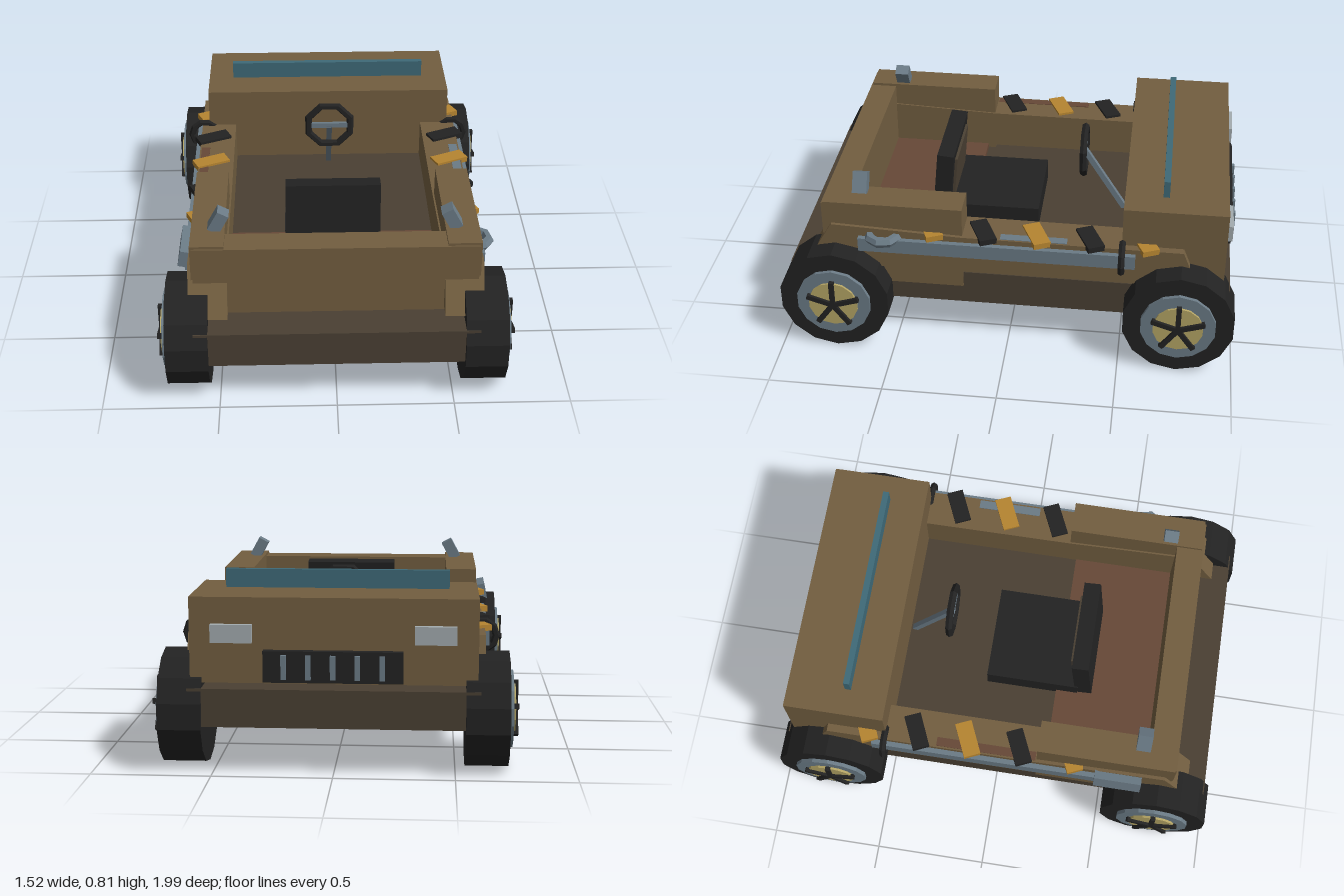
import * as THREE from 'three';

const mat = (name, color) => Object.assign(new THREE.MeshStandardMaterial({ color, flatShading: true }), { name });
const M = {
  body: mat('tan body', 0x725e40),
  frame: mat('dark brown frame', 0x4a4033),
  rust: mat('rust floor', 0x664837),
  black: mat('black rubber', 0x222222),
  steel: mat('blue grey steel', 0x6b7b86),
  brass: mat('pale brass', 0xb5a565),
  orange: mat('orange strap', 0xb58430),
  glass: mat('teal glass', 0x3e6a78),
  lamp: mat('lamp grey', 0xa3abae),
};

export function createModel() {
  const root = new THREE.Group();
  root.name = 'openBuggy';

  const add = (name, geo, material, parent = root) => {
    const mesh = new THREE.Mesh(geo, material);
    mesh.name = name;
    parent.add(mesh);
    return mesh;
  };
  // Box given by its extents on each axis
  const box = (name, material, [x0, x1], [y0, y1], [z0, z1], parent = root) => {
    const m = add(name, new THREE.BoxGeometry(x1 - x0, y1 - y0, z1 - z0), material, parent);
    m.position.set((x0 + x1) / 2, (y0 + y1) / 2, (z0 + z1) / 2);
    return m;
  };

  // Chassis, hood and rear wall
  box('chassis', M.frame, [-0.6, 0.6], [0.2, 0.36], [-0.97, 0.97]);
  box('rearFloor', M.rust, [-0.465, 0.465], [0.36, 0.385], [0.23, 0.7]);
  box('hood', M.body, [-0.588, 0.588], [0.38, 0.735], [-0.94, -0.495]);
  box('rearWall', M.body, [-0.6, 0.6], [0.355, 0.678], [0.69, 0.812]);
  box('windscreen', M.glass, [-0.47, 0.47], [0.73, 0.813], [-0.685, -0.658]);

  // Grille and headlamps
  box('grille', M.black, [-0.285, 0.285], [0.39, 0.52], [-0.972, -0.935]);
  for (let i = -2; i <= 2; i++) {
    box('grilleBar', M.steel, [i * 0.1 - 0.011, i * 0.1 + 0.011], [0.405, 0.505], [-0.985, -0.965]);
  }
  for (const s of [-1, 1]) {
    box('headlamp', M.lamp, [s * 0.415 - 0.085, s * 0.415 + 0.085], [0.55, 0.625], [-0.965, -0.935]);
  }

  // Sloped side beam, drawn in (z, y) and extruded across x
  const sill = new THREE.Shape([
    [0.89, 0.38], [0.77, 0.585], [0.2, 0.56], [-0.76, 0.555], [-0.83, 0.38],
  ].map(([z, y]) => new THREE.Vector2(-z, y)));
  const sillGeo = new THREE.ExtrudeGeometry(sill, { depth: 0.165, bevelEnabled: false });
  sillGeo.rotateY(Math.PI / 2).translate(-0.0825, 0, 0);

  for (const s of [-1, 1]) {
    add('sideBeam', sillGeo, M.body).position.x = s * 0.54;
    const span = (a, b) => (s > 0 ? [a, b] : [-b, -a]);
    box('rearSideBox', M.body, span(0.465, 0.608), [0.29, 0.69], [0.195, 0.805]);
    box('sideRail', M.steel, span(0.6, 0.645), [0.47, 0.535], [-0.555, 0.65]);
    box('sideInlay', s > 0 ? M.steel : M.rust, span(0.575, 0.615), [0.555, 0.561], [-0.26, s > 0 ? 0.03 : 0.19]);

    // Alternating straps along the beam
    for (let i = 0; i < 5; i++) {
      const strap = add('strap', new THREE.BoxGeometry(0.16, 0.026, 0.076), i % 2 ? M.black : M.orange);
      strap.position.set(s * 0.564, 0.556, -0.59 + i * 0.233);
      strap.rotation.y = 0.42;
    }

    // Ring around the rail
    const ring = add('railRing', new THREE.TorusGeometry(0.065, 0.016, 6, 10), M.black);
    ring.position.set(s * 0.612, 0.505, -0.497);

    // Tilted lamp on the rear corner
    const lamp = add('cornerLamp', new THREE.BoxGeometry(0.053, 0.095, 0.064), M.steel);
    lamp.position.set(s * 0.492, 0.728, 0.655);
    lamp.rotation.z = s * 0.5;
  }

  // Hose coil on the left, tool case on the right
  const coil = add('hoseCoil', new THREE.TorusGeometry(0.062, 0.023, 6, 8), M.steel);
  coil.position.set(0.61, 0.538, 0.542);
  coil.rotation.set(Math.PI / 2, 0, 0.2);
  const toolCase = add('toolCase', new THREE.BoxGeometry(0.05, 0.075, 0.21), M.steel);
  toolCase.position.set(-0.642, 0.538, 0.565);
  toolCase.rotation.z = -0.2;

  // Seat with a forward-leaning back
  const seat = new THREE.Group();
  seat.name = 'seat';
  root.add(seat);
  box('cushion', M.black, [-0.215, 0.215], [0.36, 0.46], [-0.095, 0.33], seat);
  const back = new THREE.Group();
  back.name = 'backrest';
  back.position.set(0, 0.42, 0.355);
  back.rotation.x = -0.09;
  seat.add(back);
  box('backFrame', M.black, [-0.21, 0.21], [-0.03, 0.29], [-0.038, 0.038], back);
  box('backPanel', M.frame, [-0.16, 0.16], [0.04, 0.25], [-0.05, -0.036], back);

  // Steering wheel and column
  const rim = add('steeringWheel', new THREE.TorusGeometry(0.107, 0.018, 6, 8), M.black);
  rim.position.set(0, 0.662, -0.285);
  rim.rotation.z = Math.PI / 8;
  const top = new THREE.Vector3(0, 0.665, -0.285), foot = new THREE.Vector3(0, 0.36, -0.48);
  const column = add('steeringColumn', new THREE.BoxGeometry(0.025, top.distanceTo(foot), 0.025), M.steel);
  column.position.lerpVectors(top, foot, 0.5);
  column.quaternion.setFromUnitVectors(new THREE.Vector3(0, 1, 0), top.clone().sub(foot).normalize());
  box('steeringSpoke', M.steel, [-0.1, 0.1], [0.65, 0.674], [-0.293, -0.277]);

  // Wheels: tyre, rim, brass disc and five spokes, built facing +x
  const disc = (r, x0, x1, sides) => new THREE.CylinderGeometry(r, r, x1 - x0, sides)
    .rotateY(Math.PI / 2).rotateZ(Math.PI / 2).translate((x0 + x1) / 2, 0, 0);
  const tyreGeo = disc(0.245, -0.09, 0.09, 14);
  const rimGeo = disc(0.165, 0.08, 0.107, 14);
  const brassGeo = disc(0.11, 0.1, 0.117, 14);
  const spokeGeo = new THREE.BoxGeometry(0.02, 0.12, 0.022).translate(0.12, 0.06, 0);
  for (const s of [-1, 1]) for (const z of [-0.755, 0.755]) {
    const wheel = new THREE.Group();
    wheel.name = 'wheel';
    wheel.position.set(s * 0.63, 0.245, z);
    if (s < 0) wheel.rotation.y = Math.PI;
    root.add(wheel);
    add('tyre', tyreGeo, M.black, wheel);
    add('wheelRim', rimGeo, M.steel, wheel);
    add('hubDisc', brassGeo, M.brass, wheel);
    for (let i = 0; i < 5; i++) add('spoke', spokeGeo, M.black, wheel).rotation.x = i * Math.PI * 0.4;
  }
  return root;
}
